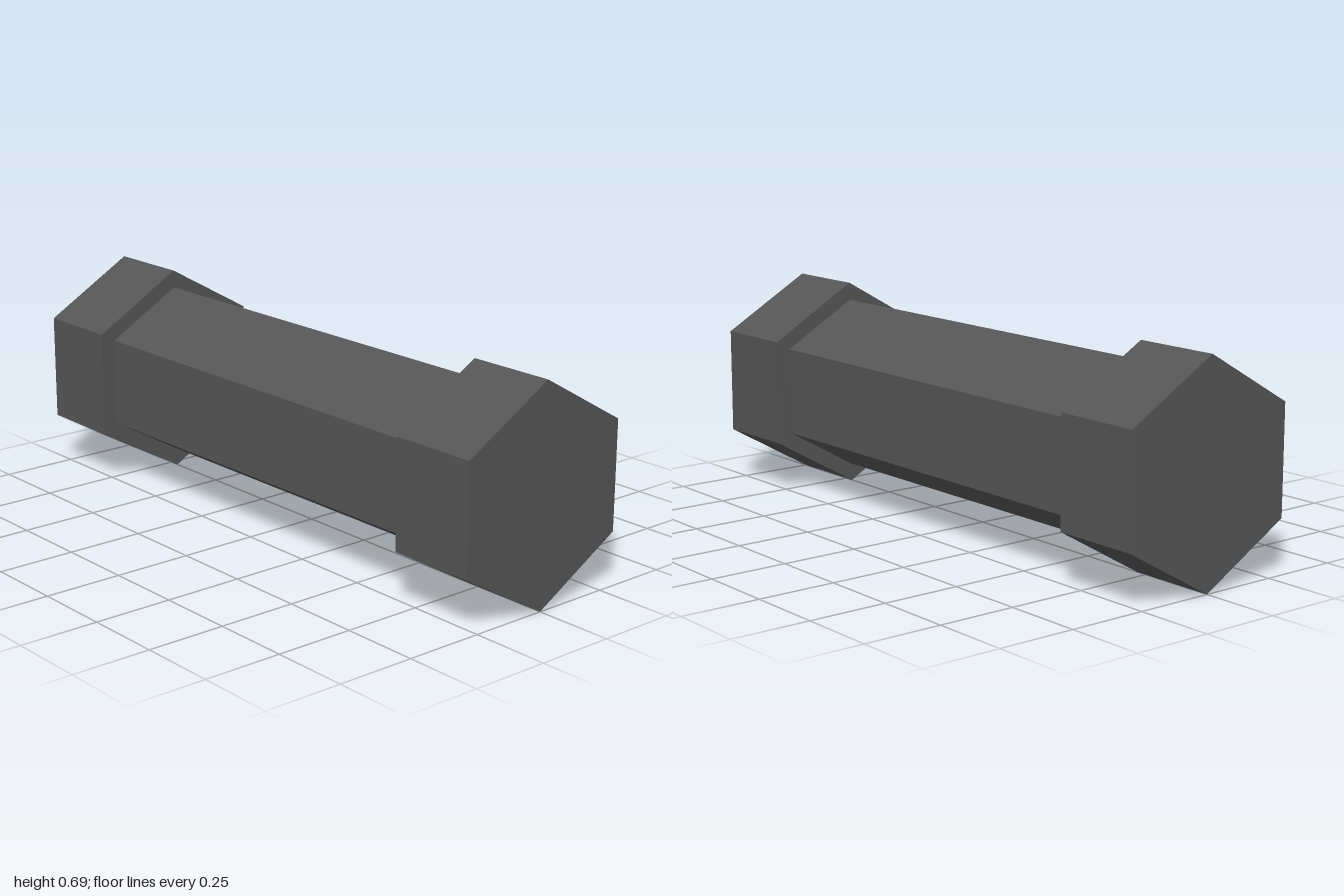
import * as THREE from 'three';

const CENTER_Y = 0.3425;

export function createModel() {
  const group = new THREE.Group();
  const darkGrey = new THREE.MeshStandardMaterial({ color: 0x555555, flatShading: true });
  darkGrey.name = 'darkGrey';

  // Hexagonal prism lying along z, with a corner pointing up
  function hexPrism(name, radius, length, z) {
    const geometry = new THREE.CylinderGeometry(radius, radius, length, 6);
    geometry.rotateX(Math.PI / 2);
    const mesh = new THREE.Mesh(geometry, darkGrey);
    mesh.name = name;
    mesh.position.set(0, CENTER_Y, z);
    group.add(mesh);
  }

  // Slim shaft between two wider end caps
  hexPrism('shaft', 0.285, 1.43, 0);
  hexPrism('frontCap', CENTER_Y, 0.285, 0.8575);
  hexPrism('backCap', CENTER_Y, 0.285, -0.8575);

  return group;
}
